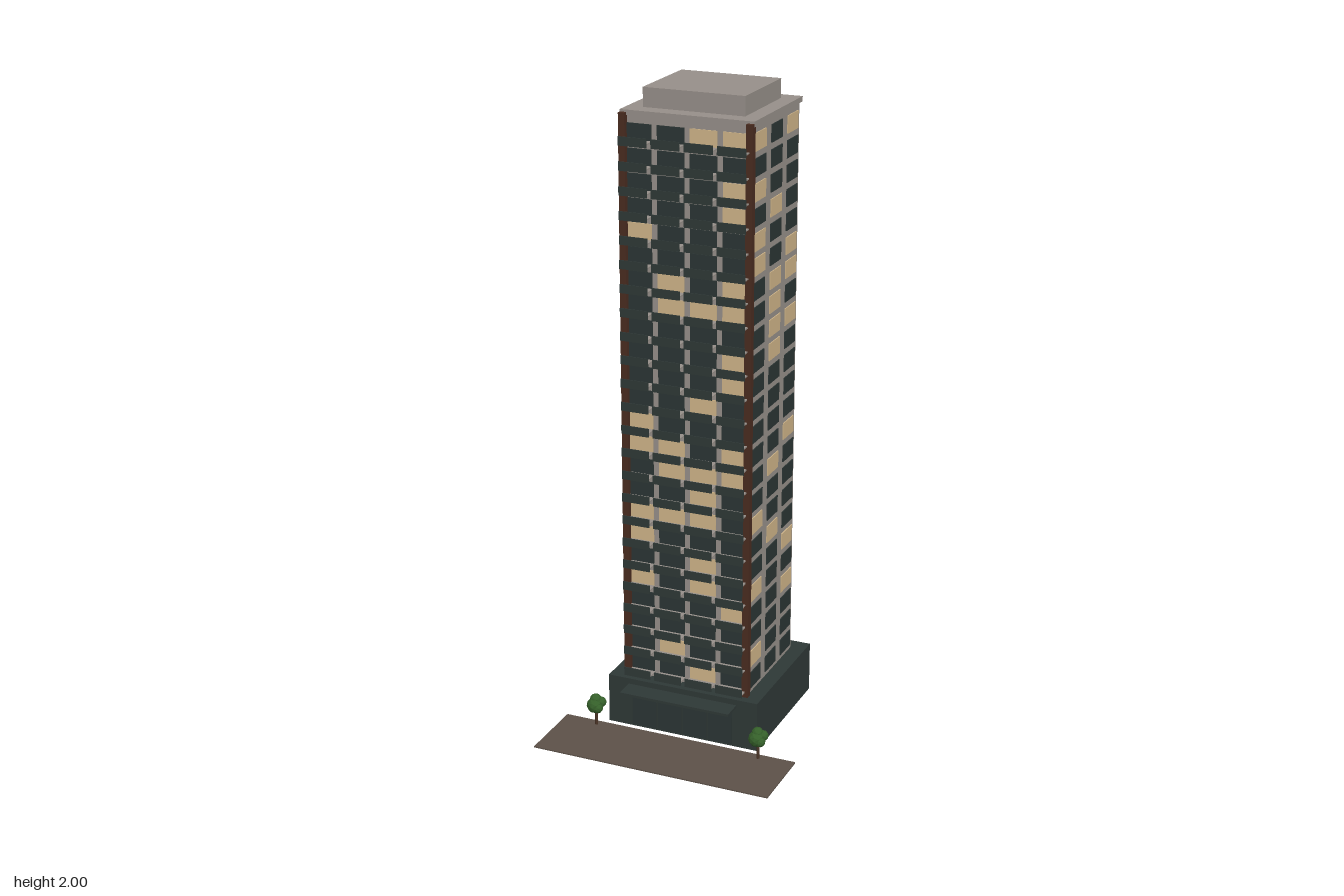
import * as THREE from 'three';

const mat = (name, color) => {
  const m = new THREE.MeshStandardMaterial({ color });
  m.name = name;
  return m;
};

export function createModel() {
  const model = new THREE.Group();
  model.name = 'apartmentTower';

  const concrete = mat('concrete', 0x968f89);
  const darkCladding = mat('darkCladding', 0x2e3836);
  const darkGlass = mat('darkGlass', 0x2b3534);
  const litGlass = mat('litGlass', 0xcfb488);
  const bronze = mat('bronze', 0x4a2c20);
  const paving = mat('paving', 0x5c5148);
  const bark = mat('bark', 0x4a3426);
  const leaves = mat('leaves', 0x35602a);
  leaves.flatShading = true;

  // Box given by its extents on each axis
  const box = (name, material, x0, x1, y0, y1, z0, z1, parent = model) => {
    const mesh = new THREE.Mesh(new THREE.BoxGeometry(x1 - x0, y1 - y0, z1 - z0), material);
    mesh.position.set((x0 + x1) / 2, (y0 + y1) / 2, (z0 + z1) / 2);
    mesh.name = name;
    parent.add(mesh);
    return mesh;
  };

  // Main masses
  box('forecourt', paving, -0.385, 0.385, 0, 0.004, 0.124, 0.352);
  box('podium', darkCladding, -0.249, 0.249, 0, 0.16, -0.352, 0.1);
  box('towerBody', concrete, -0.2, 0.2, 0.16, 1.926, -0.304, 0.055);
  box('roofSlab', concrete, -0.207, 0.207, 1.926, 1.942, -0.312, 0.061);
  box('plantRoom', concrete, -0.158, 0.158, 1.942, 2, -0.263, 0.01);
  box('entranceCanopy', darkCladding, -0.181, 0.181, 0.134, 0.142, 0.1, 0.165);

  // Entrance glazing under the canopy
  for (let i = 0; i < 4; i++) {
    const x = (i - 1.5) * 0.085;
    box('entrancePane', darkGlass, x - 0.04, x + 0.04, 0.006, 0.118, 0.1, 0.103);
  }

  // Corner fins
  for (const s of [-1, 1]) {
    const fin = box('cornerFin', bronze, -0.01, 0.01, 0.16, 1.935, 0.052, 0.074);
    fin.position.x = s * 0.197;
  }

  // Lit windows per floor, top floor first, by column number
  const frontLit = ['34', '', '4', '4', '1', '', '24', '234', '', '4', '4', '3',
    '1', '124', '234', '3', '123', '1', '3', '13', '4', '', '2', '3'];
  const sideLit = ['13', '', '1', '2', '1', '13', '23', '2', '23', '2', '', '',
    '', '3', '2', '', '1', '2', '3', '1', '3', '', '1', ''];
  const floorHeight = 0.0729;
  const topFloor = 1.8415;

  for (let f = 0; f < 24; f++) {
    const base = topFloor - f * floorHeight;
    const floor = new THREE.Group();
    floor.name = 'floor';
    model.add(floor);

    // Front windows with balconies
    for (let c = 0; c < 4; c++) {
      const x = (c - 1.5) * 0.102;
      const glass = frontLit[f].includes(String(c + 1)) ? litGlass : darkGlass;
      box('frontWindow', glass, x - 0.042, x + 0.042, base + 0.01, base + 0.063, 0.052, 0.058, floor);
      box('balconySlab', concrete, x - 0.0445, x + 0.0445, base + 0.011, base + 0.015, 0.055, 0.094, floor);
      box('balconyRail', darkCladding, x - 0.0445, x + 0.0445, base + 0.003, base + 0.03, 0.094, 0.097, floor);
    }

    // Side windows
    for (const s of [-1, 1]) {
      for (let c = 0; c < 3; c++) {
        const z = -c * 0.125;
        const glass = sideLit[f].includes(String(c + 1)) ? litGlass : darkGlass;
        const w = box('sideWindow', glass, -0.003, 0.003, base + 0.01, base + 0.063, z - 0.042, z + 0.042, floor);
        w.position.x = s * 0.2;
      }
    }
  }

  // Clipped trees beside the entrance
  const blobs = [[-0.004, 0.071, 0.002, 0.026], [0.013, 0.08, -0.008, 0.017],
    [0.009, 0.066, 0.008, 0.017], [-0.003, 0.088, -0.003, 0.019]];
  for (const s of [-1, 1]) {
    const tree = new THREE.Group();
    tree.name = 'tree';
    tree.position.set(s * 0.272, 0, 0.146);
    model.add(tree);
    const trunk = new THREE.Mesh(new THREE.CylinderGeometry(0.004, 0.005, 0.06, 8), bark);
    trunk.name = 'trunk';
    trunk.position.y = 0.03;
    tree.add(trunk);
    for (const [x, y, z, r] of blobs) {
      const crown = new THREE.Mesh(new THREE.IcosahedronGeometry(r, 1), leaves);
      crown.name = 'crown';
      crown.position.set(x, y, z);
      tree.add(crown);
    }
  }

  return model;
}
